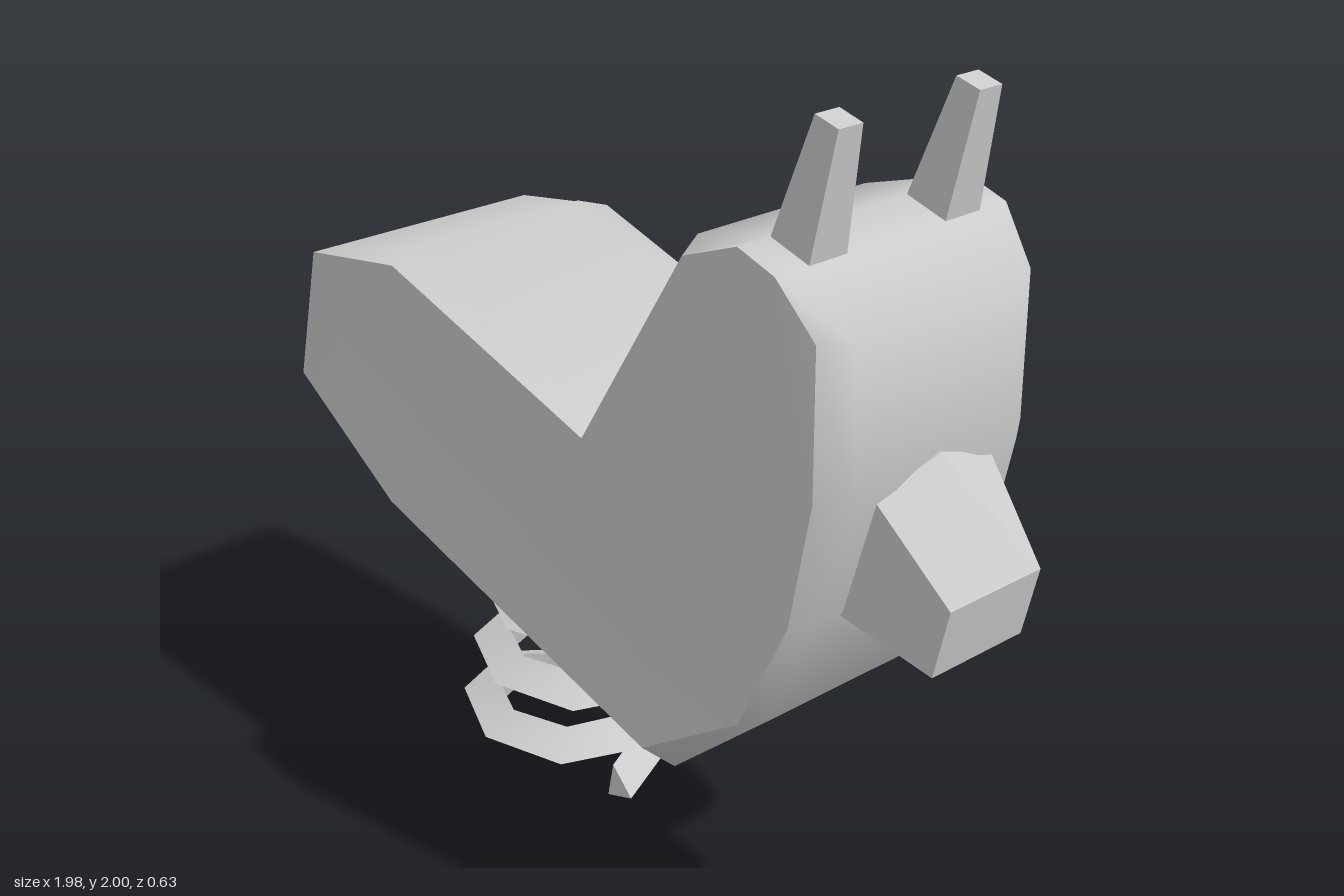
import * as THREE from 'three';
import { toCreasedNormals } from 'three/addons/utils/BufferGeometryUtils.js';
import { ConvexGeometry } from 'three/addons/geometries/ConvexGeometry.js';

const material = new THREE.MeshStandardMaterial({ color: 0xcccccc });
const V = (x, y, z) => new THREE.Vector3(x, y, z);

function addPart(group, name, geometry) {
  const mesh = new THREE.Mesh(geometry, material);
  mesh.name = name;
  group.add(mesh);
  return mesh;
}

// Geometry from a flat list of triangle corners, smooth below the crease angle
function fromTriangles(points, crease) {
  return toCreasedNormals(new THREE.BufferGeometry().setFromPoints(points), crease);
}

function pushQuad(list, a, b, c, d) {
  list.push(a, b, c, a, c, d);
}

// Side profile, clockwise from the tail: face x, face y, rim x, rim y, face half width
const profile = [
  [-0.97, 0.99, -0.99, 0.935, 0.315],
  [-0.88, 1.33, -0.88, 1.33, 0.315],
  [-0.55, 1.39, -0.55, 1.42, 0.315],
  [0.12, 1.2, 0.065, 1.21, 0.315],
  [0.43, 1.69, 0.38, 1.7, 0.315],
  [0.58, 1.75, 0.58, 1.75, 0.315],
  [0.68, 1.72, 0.69, 1.72, 0.315],
  [0.77, 1.61, 0.805, 1.6, 0.295],
  [0.775, 1.29, 0.82, 1.28, 0.295],
  [0.72, 1.0, 0.74, 1.0, 0.295],
  [0.59, 0.72, 0.61, 0.71, 0.3],
  [0.31, 0.53, 0.32, 0.45, 0.315],
  [-0.61, 0.77, -0.62, 0.72, 0.315],
];
const rimZ = 0.23;

function buildBody(group) {
  const rings = [
    profile.map((p) => V(p[0], p[1], p[4])),
    profile.map((p) => V(p[2], p[3], rimZ)),
    profile.map((p) => V(p[2], p[3], -rimZ)),
    profile.map((p) => V(p[0], p[1], -p[4])),
  ];
  const shell = [], tail = [];
  for (let r = 0; r < 3; r++) {
    for (let i = 0; i < profile.length; i++) {
      const j = (i + 1) % profile.length;
      const [a, b] = [rings[r], rings[r + 1]];
      pushQuad(i === 0 ? tail : shell, a[i], a[j], b[j], b[i]);
    }
  }
  addPart(group, 'bodyShell', fromTriangles(shell, 1.1));
  addPart(group, 'tailPanel', fromTriangles(tail, 0.5));

  // Flat side panels
  const outline = profile.map((p) => new THREE.Vector2(p[0], p[1]));
  const faces = THREE.ShapeUtils.triangulateShape(outline.slice().reverse(), []);
  const n = profile.length - 1;
  const left = [], right = [];
  for (const [a, b, c] of faces) {
    left.push(rings[0][n - a], rings[0][n - b], rings[0][n - c]);
    right.push(rings[3][n - a], rings[3][n - c], rings[3][n - b]);
  }
  addPart(group, 'leftSidePanel', fromTriangles(left, 0.5));
  addPart(group, 'rightSidePanel', fromTriangles(right, 0.5));
}

// Triangular bar wound round a slightly tilted axis
function buildSpring() {
  const turns = 3, sides = 8;
  const bar = [[0.27, 0], [0.19, 0.05], [0.19, -0.05]];
  const out = V(0.98, -0.2, 0), up = V(0.2, 0.98, 0);
  const sections = [];
  for (let s = 0; s <= turns * sides; s++) {
    const t = s / sides, angle = t * Math.PI * 2;
    const radial = out.clone().multiplyScalar(Math.cos(angle));
    radial.z = -Math.sin(angle);
    sections.push(bar.map(([r, h]) =>
      V(-0.365 + 0.05 * t, 0.09 + 0.175 * t, 0).addScaledVector(radial, r).addScaledVector(up, h)));
  }
  const tris = [...sections[0]];
  for (let s = 0; s < sections.length - 1; s++) {
    for (let k = 0; k < 3; k++) {
      const m = (k + 1) % 3, a = sections[s], b = sections[s + 1];
      pushQuad(tris, a[k], b[k], b[m], a[m]);
    }
  }
  tris.push(...sections[sections.length - 1].slice().reverse());
  return fromTriangles(tris, 0.9);
}

export function createModel() {
  const group = new THREE.Group();
  group.name = 'springRider';

  buildBody(group);
  addPart(group, 'spring', buildSpring());

  // Tapered muzzle with a ridged root
  const muzzle = [V(0.825, 1.325, 0), V(0.7, 1.3, 0)];
  for (const s of [-1, 1]) {
    muzzle.push(V(0.81, 1.27, 0.165 * s), V(0.72, 0.99, 0.165 * s), V(0.7, 1.0, 0.165 * s),
      V(0.985, 1.09, 0.13 * s), V(0.95, 0.93, 0.13 * s));
  }
  addPart(group, 'muzzle', new ConvexGeometry(muzzle));

  // Four-sided ears
  for (const s of [-1, 1]) {
    const ear = [];
    for (const z of [0.13, 0.235]) ear.push(V(0.56, 1.69, z * s), V(0.675, 1.67, z * s));
    for (const z of [0.155, 0.217]) ear.push(V(0.67, 2.0, z * s), V(0.73, 1.985, z * s));
    addPart(group, s > 0 ? 'leftEar' : 'rightEar', new ConvexGeometry(ear));
  }
  return group;
}
